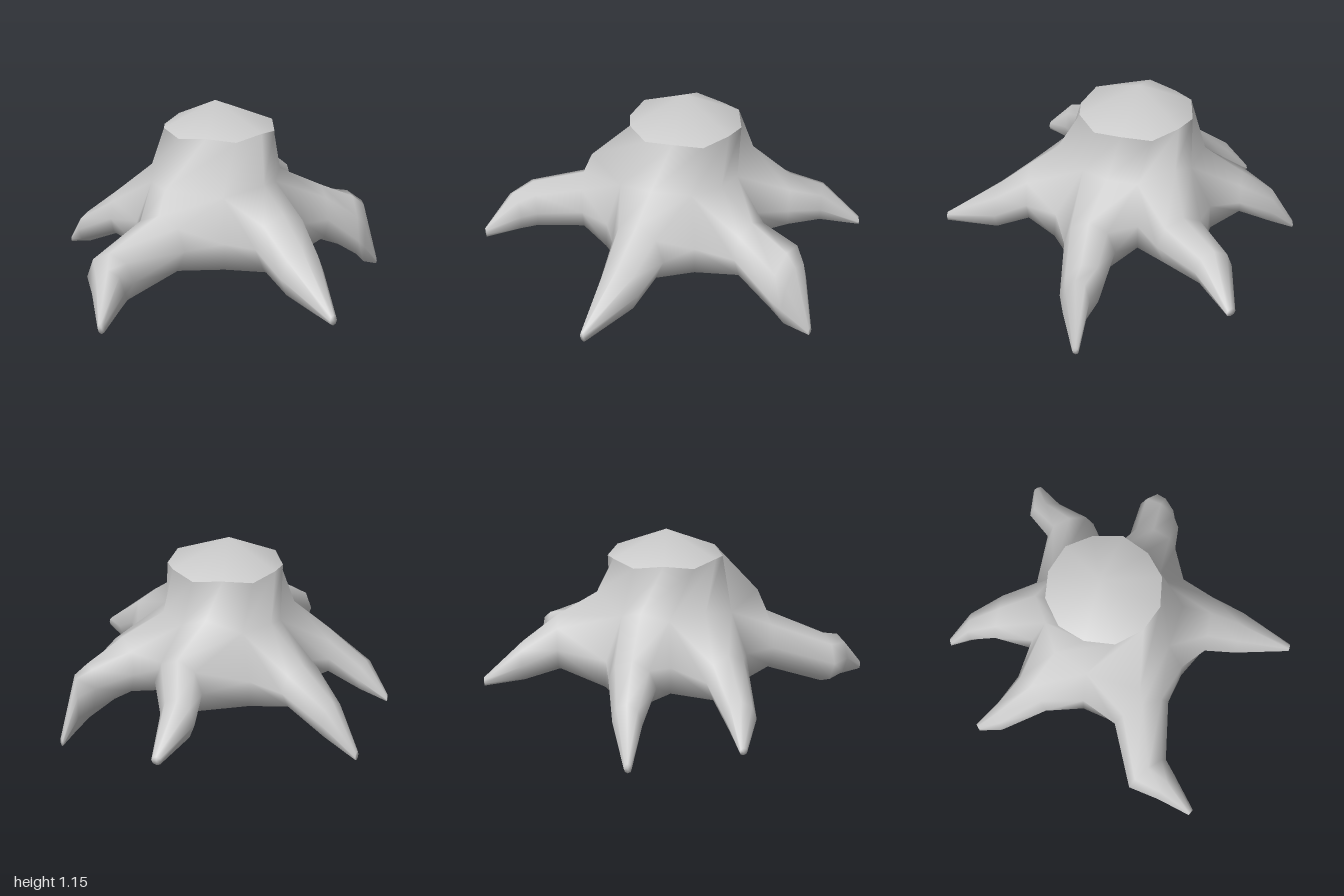
import * as THREE from 'three';
import { mergeVertices } from 'three/addons/utils/BufferGeometryUtils.js';

// Valleys between neighbouring roots (x, z at ground side), in order around the trunk
const VALLEYS = [[0.32, -0.28], [0.47, 0.2], [-0.03, 0.5], [-0.54, 0.12], [-0.4, -0.36], [-0.07, -0.56]];

// Radius and height where each root leaves the trunk
const CROWNS = [[0.37, 0.72], [0.46, 0.75], [0.56, 0.75], [0.41, 0.74], [0.41, 0.75], [0.41, 0.8]];

// Root cross-sections: one side x,z, other side x,z, top y, bottom y, optional tilt.
// Root i grows between valley i and valley i + 1.
const ROOTS = [
  [[0.54, -0.26, 0.62, 0.03, 0.6, 0.24], [0.77, -0.33, 0.83, -0.07, 0.49, 0.14, -0.08], [0.87, -0.295, 0.88, -0.12, 0.43, 0.07, -0.08], [0.97, -0.28, 0.985, -0.245, 0.05, 0]],
  [[0.46, 0.4, 0.14, 0.55, 0.63, 0.27], [0.52, 0.6, 0.27, 0.7, 0.48, 0.19], [0.55, 0.95, 0.51, 0.965, 0.24, 0.18]],
  [[-0.25, 0.54, -0.54, 0.35, 0.62, 0.26], [-0.53, 0.71, -0.79, 0.62, 0.49, 0.18], [-0.575, 0.8, -0.75, 0.8, 0.45, 0.18], [-0.67, 1, -0.71, 0.995, 0.24, 0.175]],
  [[-0.7, -0.04, -0.62, -0.3, 0.56, 0.28], [-0.92, -0.22, -0.8, -0.34, 0.38, 0.18], [-0.985, -0.36, -0.965, -0.4, 0.18, 0.14]],
  [[-0.5, -0.56, -0.23, -0.67, 0.56, 0.3], [-0.57, -0.73, -0.42, -0.81, 0.4, 0.17], [-0.63, -0.86, -0.6, -0.89, 0.13, 0.075]],
  [[0.22, -0.67, 0.45, -0.48, 0.65, 0.31], [0.3, -0.87, 0.46, -0.72, 0.53, 0.29], [0.5, -0.995, 0.55, -0.965, 0.31, 0.26]],
];
const CX = -0.04, CZ = -0.06; // trunk axis
const V = (x, y, z) => new THREE.Vector3(x, y, z);
const polar = (a, r, y) => V(CX + r * Math.cos(a), y, CZ + r * Math.sin(a));

// Stitch two closed loops of equal length
function stitch(tris, a, b) {
  a.forEach((p, j) => {
    const k = (j + 1) % a.length;
    tris.push(p, a[k], b[k], p, b[k], b[j]);
  });
}

// Close a loop with a fan around a point
function fan(tris, loop, apex) {
  loop.forEach((p, j) => tris.push(p, loop[(j + 1) % loop.length], apex));
}

// Smooth skin from a list of triangle corners
function skin(tris, name, material) {
  const flat = new THREE.BufferGeometry().setFromPoints(tris);
  const geometry = mergeVertices(flat, 1e-4);
  geometry.computeVertexNormals();
  const mesh = new THREE.Mesh(geometry, material);
  mesh.name = name;
  return mesh;
}

// Eight-sided upright section: top, far side, bottom, near side
function section([lx, lz, hx, hz, top, bottom, tilt = 0]) {
  return Array.from({ length: 8 }, (_, j) => {
    const a = j * Math.PI / 4;
    const s = (1 + Math.sin(a)) / 2;
    const y = (top + bottom) / 2 + Math.cos(a) * (top - bottom) / 2 + Math.sin(a) * tilt;
    return V(lx + (hx - lx) * s, y, lz + (hz - lz) * s);
  });
}

export function createModel() {
  const group = new THREE.Group();
  group.name = 'treeStump';
  const material = new THREE.MeshStandardMaterial({ color: 0xcccccc });
  const n = ROOTS.length;

  // Valley lines running down the trunk between the roots
  const angles = VALLEYS.map(([x, z]) => Math.atan2(z - CZ, x - CX));
  const valleys = VALLEYS.map(([x, z], i) => {
    const r = 0.44 * (CROWNS[i][0] + CROWNS[(i + n - 1) % n][0]);
    const top = polar(angles[i], r, 0.7);
    const low = V(x, 0.31, z);
    const mid = V(top.x + (x - top.x) * 0.93, 0.46, top.z + (z - top.z) * 0.93);
    return { top, mid, low };
  });

  // Trunk rings: cut edge and the line where the roots begin
  const cut = [], collar = [];
  for (let i = 0; i < 2 * n; i++) cut.push(polar((i - 1.5) * Math.PI / n, 0.335, i % 2 ? 1.01 : 0.985));
  const crowns = CROWNS.map(([r, y], i) => {
    let next = angles[(i + 1) % n];
    if (next < angles[i]) next += Math.PI * 2;
    const point = polar((angles[i] + next) / 2, r, y);
    collar.push(valleys[i].top, point);
    return point;
  });

  // Trunk and roots as one continuous skin
  const bark = [];
  stitch(bark, cut, collar);
  const under = V(-0.06, 0.36, 0.02);
  ROOTS.forEach((stations, i) => {
    const a = valleys[i], b = valleys[(i + 1) % n];
    let loop = [crowns[i], b.top, b.mid, b.low, under, a.low, a.mid, a.top];
    for (const station of stations) {
      const ring = section(station);
      stitch(bark, loop, ring);
      loop = ring;
    }
    const centre = loop.reduce((s, p) => s.add(p), V(0, 0, 0)).divideScalar(8);
    fan(bark, loop, centre);
  });
  group.add(skin(bark, 'trunkAndRoots', material));

  // Raised cut face with a crisp edge
  const face = [];
  fan(face, [...cut].reverse(), V(-0.06, 1.15, -0.07));
  group.add(skin(face, 'cutTop', material));
  return group;
}
